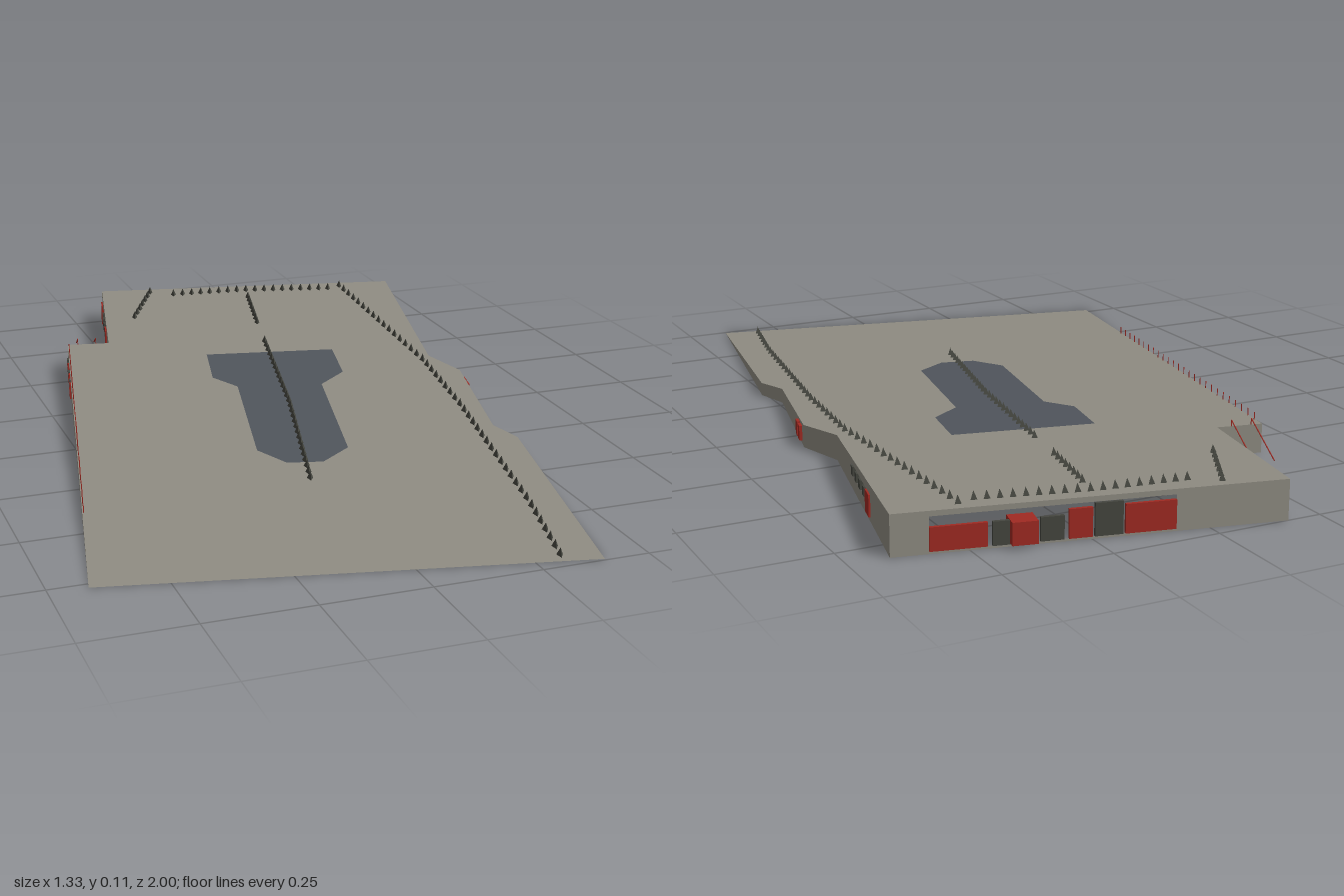
import * as THREE from 'three';

const mat = (name, color, side = THREE.FrontSide) => {
  const m = new THREE.MeshStandardMaterial({ color, side });
  m.name = name;
  return m;
};

export function createModel() {
  const group = new THREE.Group();
  const concrete = mat('concrete', 0x8f8c82, THREE.DoubleSide);
  const glass = mat('slate glass', 0x50555c, THREE.DoubleSide);
  const red = mat('red', 0xa02a22);
  const dark = mat('dark metal', 0x45463f);

  // The roof climbs evenly from the front edge to the back edge
  const roofY = (x, z) => Math.max(0, 0.0503 * (0.207 * (x + 0.665) - 0.978 * (z - 0.765)));

  const A = [-0.17, -1], B = [0.66, -0.822], C = [0.53, -0.213], D = [0.565, -0.09];
  const E = [0.487, 0.272], F = [0.511, 0.358], G = [0.397, 0.995], H = [-0.665, 0.768];
  const I = [-0.372, -0.6], J = [-0.263, -0.578];
  const outline = [A, B, C, D, E, F, G, H, I, J];
  const skylight = [[-0.035, -0.41], [0.3, -0.34], [0.267, -0.177], [0.183, -0.114], [0.098, 0.283],
    [0.013, 0.341], [-0.071, 0.32], [-0.114, 0.23], [-0.029, -0.167], [-0.071, -0.246]];

  const add = (name, geometry, material, parent = group) => {
    const mesh = new THREE.Mesh(geometry, material);
    mesh.name = name;
    parent.add(mesh);
    return mesh;
  };

  // Sloped sheets: roof with an opening, and the pane that fills it
  const flip = pts => pts.map(([x, z]) => new THREE.Vector2(x, -z));
  const sheet = (name, pts, material, hole) => {
    const shape = new THREE.Shape(flip(pts));
    if (hole) shape.holes.push(new THREE.Path(flip(hole)));
    const geo = new THREE.ShapeGeometry(shape).rotateX(-Math.PI / 2);
    const p = geo.attributes.position;
    for (let i = 0; i < p.count; i++) p.setY(i, roofY(p.getX(i), p.getZ(i)));
    geo.computeVertexNormals();
    add(name, geo, material);
  };
  sheet('roof', outline, concrete, skylight);
  sheet('skylight', skylight, glass);

  // A wall from p to q: openings are [s0, s1, y0, y1], panels [s0, s1, y0, y1, material, depth]
  const wall = (name, p, q, openings = [], panels = []) => {
    const dx = q[0] - p[0], dz = q[1] - p[1], len = Math.hypot(dx, dz);
    const g = new THREE.Group();
    g.name = name;
    g.position.set(p[0], 0, p[1]);
    g.rotation.y = Math.atan2(-dz, dx);
    const shape = new THREE.Shape([[0, 0], [len, 0], [len, roofY(...q)], [0, roofY(...p)]]
      .map(c => new THREE.Vector2(...c)));
    for (const [a, b, lo, hi] of openings) {
      shape.holes.push(new THREE.Path([[a, lo], [a, hi], [b, hi], [b, lo]]
        .map(c => new THREE.Vector2(...c))));
    }
    add(name + 'Face', new THREE.ShapeGeometry(shape), concrete, g);
    for (const [a, b, lo, hi, m, depth = 0.008] of panels) {
      add(m === red ? 'redPanel' : 'darkPanel', new THREE.BoxGeometry(b - a, hi - lo, depth), m, g)
        .position.set((a + b) / 2, (lo + hi) / 2, 0);
    }
    group.add(g);
  };

  // Entrance wall at the back
  wall('backWall', B, A, [[0.08, 0.6, 0.006, 0.08]], [
    [0.08, 0.2, 0.006, 0.058, red], [0.21, 0.27, 0.006, 0.058, dark], [0.245, 0.3, 0.01, 0.06, red, 0.05],
    [0.31, 0.36, 0.006, 0.058, dark], [0.37, 0.42, 0.006, 0.07, red], [0.425, 0.485, 0.006, 0.078, dark],
    [0.49, 0.6, 0.006, 0.07, red],
  ]);

  // Window bands with dark shutters between red doors
  const shutters = (from, step, n, lo, hi) =>
    Array.from({ length: n }, (_, i) => [from + i * step, from + i * step + step * 0.45, lo, hi, dark]);
  wall('rightWindowWall', C, B, [[0.19, 0.378, 0.034, 0.058]],
    [...shutters(0.205, 0.045, 4, 0.037, 0.058), [0.372, 0.415, 0.01, 0.06, red]]);
  wall('leftWindowWall', A, J, [[0.07, 0.26, 0.028, 0.064]],
    [...shutters(0.085, 0.045, 4, 0.028, 0.052), [0.018, 0.06, 0.008, 0.064, red], [0.26, 0.3, 0.008, 0.064, red]]);
  wall('sideDoorWall', D, E, [], [[-0.01 + 0.0, 0.0, 0.01, 0.045, concrete],
    ].slice(1).concat([[-0.075, -0.05, 0.01, 0.045, red], [-0.045, -0.025, 0.01, 0.045, red]]
      .map(([a, b, ...r]) => [-a - 0.09 + 0.0 + 0.02 + 0.01, -b - 0.06 + 0.09, ...r]).slice(2)));
  wall('notchWall', J, I);
  wall('leftLongWall', I, H, [[0.02, 0.09, 0.018, 0.05], [0.11, 0.24, 0.018, 0.046]],
    [...shutters(0.03, 0.035, 2, 0.018, 0.042), ...shutters(0.12, 0.035, 3, 0.018, 0.038),
      [0.095, 0.106, 0.006, 0.05, red], [0.17, 0.185, 0.006, 0.046, red], [0.245, 0.26, 0.006, 0.046, red]]);
  wall('bayFrontWall', C, D);
  wall('bayBackWall', E, F);
  wall('rightLongWall', F, G);

  // Paired doors on the right bay
  const bayAngle = Math.atan2(-(E[1] - D[1]), E[0] - D[0]);
  for (const t of [0.1, 0.2]) {
    const door = add('bayDoor', new THREE.BoxGeometry(0.024, 0.036, 0.014), red);
    door.position.set(D[0] + (E[0] - D[0]) * t, 0.027, D[1] + (E[1] - D[1]) * t);
    door.rotation.y = bayAngle;
  }

  // Rows of small spikes standing on the roof
  const spike = new THREE.ConeGeometry(0.012, 0.02, 3).toNonIndexed();
  spike.computeVertexNormals();
  const row = (pts, n) => {
    const path = new THREE.CurvePath();
    for (let i = 1; i < pts.length; i++) {
      path.add(new THREE.LineCurve(new THREE.Vector2(...pts[i - 1]), new THREE.Vector2(...pts[i])));
    }
    for (let i = 0; i < n; i++) {
      const c = path.getPointAt(i / (n - 1));
      const m = add('roofSpike', spike, dark);
      m.position.set(c.x, roofY(c.x, c.y) + 0.009, c.y);
      m.scale.x = 0.75;
      m.rotation.y = -0.21;
    }
  };
  row([[0.315, 0.95], [0.37, 0.7], [0.463, 0.135], [0.5, -0.18], [0.51, -0.82]], 46);
  row([[0.02, -0.9], [0.22, -0.875], [0.47, -0.81]], 18);
  row([[-0.04, -0.94], [-0.14, -0.75]], 7);
  row([[0.22, -0.81], [0.175, -0.6]], 8);
  row([[0.145, -0.45], [0.06, -0.02], [-0.05, 0.42]], 28);

  // Thin rods for railings
  const rod = (name, a, b, r = 0.0012) => {
    const va = new THREE.Vector3(...a), vb = new THREE.Vector3(...b), d = vb.clone().sub(va);
    const m = add(name, new THREE.CylinderGeometry(r, r, d.length(), 5), red);
    m.position.copy(va).add(vb).multiplyScalar(0.5);
    m.quaternion.setFromUnitVectors(new THREE.Vector3(0, 1, 0), d.normalize());
  };
  // Posts along the left roof edge
  for (let i = 0; i < 26; i++) {
    const t = 0.03 + 0.72 * i / 25;
    const x = I[0] + (H[0] - I[0]) * t + 0.003, z = I[1] + (H[1] - I[1]) * t, y = roofY(x, z);
    rod('railingPost', [x, y, z], [x, y + 0.018, z]);
  }
  // Handrails of the stair that drops into the notch
  for (const [x, z] of [[-0.345, -0.595], [-0.297, -0.585]]) {
    rod('stairHandrail', [x, 0.085, z], [x + 0.03, 0.03, z - 0.14], 0.0015);
    rod('stairPost', [x, roofY(x, z), z], [x, 0.085, z]);
  }
  return group;
}
